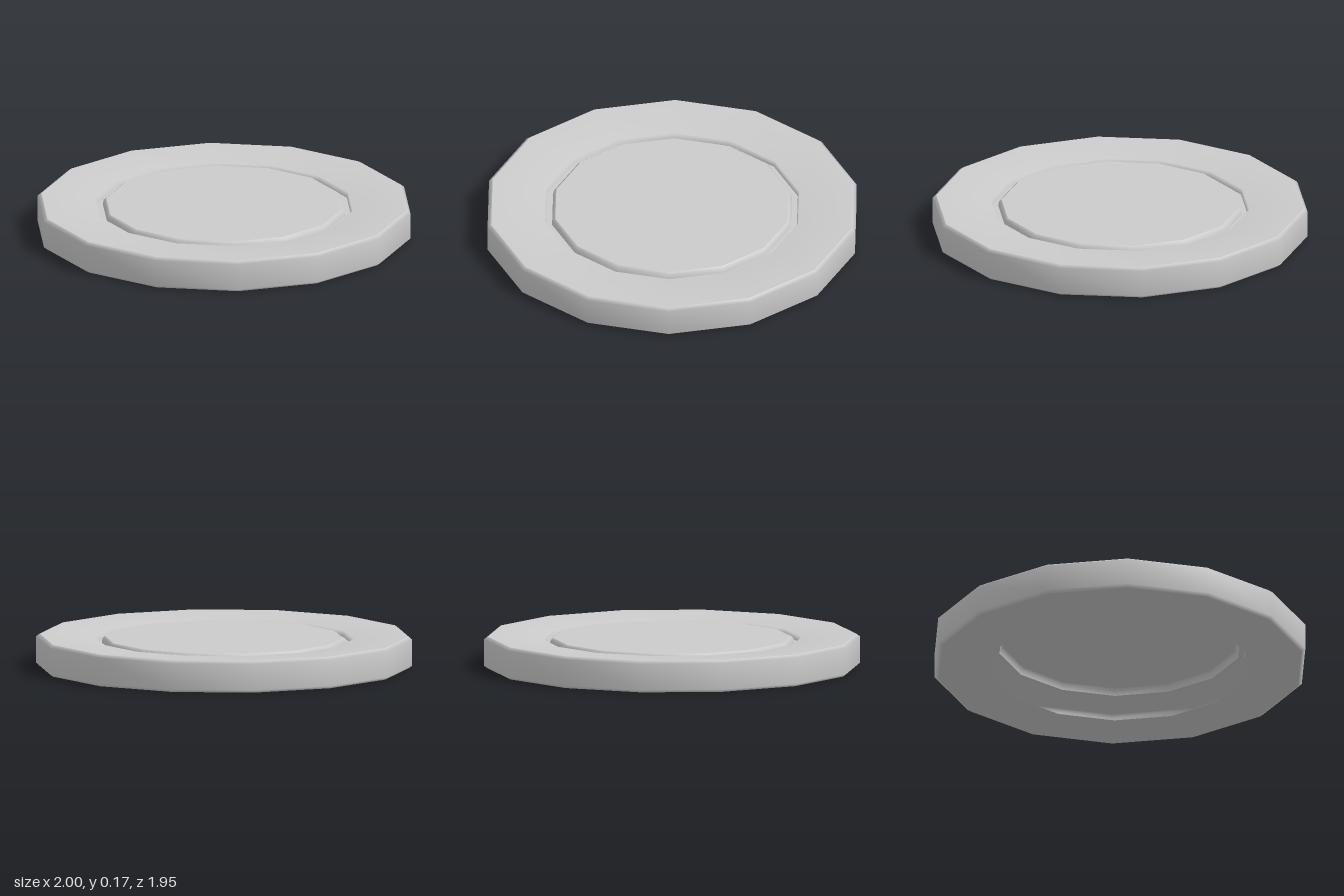
import * as THREE from 'three';

const SIDES = 14;

export function createModel() {
  const group = new THREE.Group();
  const material = new THREE.MeshStandardMaterial({ color: 0xcccccc, side: THREE.DoubleSide });

  // Turn a profile of [radius, height] points, smooth along its length, with corners on the x axis
  const turn = (name, profile) => {
    const points = profile.map(([r, y]) => new THREE.Vector2(r, y));
    const mesh = new THREE.Mesh(new THREE.LatheGeometry(points, SIDES, Math.PI / 2), material);
    mesh.name = name;
    group.add(mesh);
  };

  // Flat underside, open in the middle; the rim above it is a hollow shell
  turn('underside', [[0.69, 0], [0.98, 0]]);

  // Outer wall with a small bevel at both edges
  turn('outerWall', [[0.98, 0], [1, 0.015], [1, 0.155], [0.98, 0.17]]);

  // Top of the rim, dipping slightly to a soft inner lip
  turn('rimTop', [[0.98, 0.17], [0.69, 0.155], [0.682, 0.125]]);

  // Narrow groove between rim and centre
  turn('groove', [[0.682, 0.125], [0.65, 0.125]]);

  // Raised centre plate: tapered edge and flat face
  turn('plateEdge', [[0.65, 0.125], [0.645, 0.15], [0.632, 0.16]]);
  turn('plateFace', [[0.632, 0.16], [0, 0.16]]);

  return group;
}
